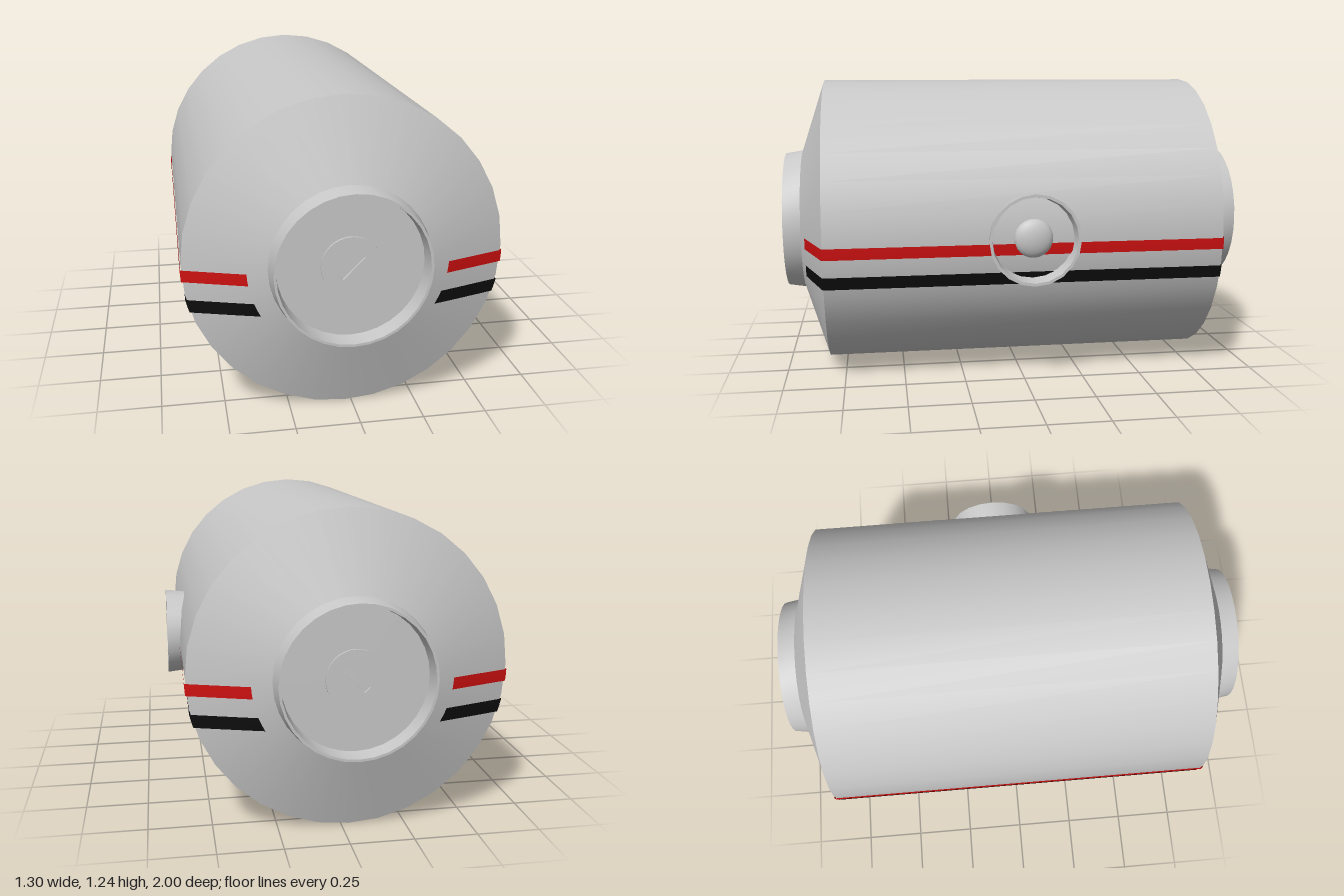
import * as THREE from 'three';
import { toCreasedNormals } from 'three/addons/utils/BufferGeometryUtils.js';

const CX = -0.03, CY = 0.622, R = 0.622;

export function createModel() {
  const grey = new THREE.MeshStandardMaterial({ color: 0xc8c8c8 });
  grey.name = 'light grey metal';
  const red = new THREE.MeshStandardMaterial({ color: 0xd01010, side: THREE.DoubleSide });
  red.name = 'red paint';
  const black = new THREE.MeshStandardMaterial({ color: 0x0e0e0e, side: THREE.DoubleSide });
  black.name = 'black paint';

  const model = new THREE.Group();
  model.name = 'tank';
  const add = (name, geometry, material, parent = model) => {
    const mesh = new THREE.Mesh(geometry, material);
    mesh.name = name;
    parent.add(mesh);
    return mesh;
  };
  const lathe = (pairs, sides) => toCreasedNormals(
    new THREE.LatheGeometry(pairs.map(([r, h]) => new THREE.Vector2(r, h)), sides), 0.5);

  // Barrel with sloped shoulders and a recessed collar at each end
  const half = [[R, 0.82], [0.31, 0.925], [0.298, 1], [0.288, 1], [0.281, 0.93], [0, 0.93]];
  const profile = [...half.map(([r, h]) => [r, -h]).reverse(), ...half];
  const barrel = add('barrel', lathe(profile, 32), grey);
  barrel.rotation.x = Math.PI / 2;
  barrel.position.set(CX, CY, 0);

  // Slotted disc in each collar, the back one a mirror of the front
  for (const end of [1, -1]) {
    const disc = new THREE.Shape().absarc(0, 0, 0.115, 0, Math.PI * 2, false);
    const a = Math.PI / 4 * end;
    const corners = [[-0.06, -0.015], [-0.06, 0.015], [0.06, 0.015], [0.06, -0.015]];
    disc.holes.push(new THREE.Path(corners.map(([x, y]) => new THREE.Vector2(
      x * Math.cos(a) - y * Math.sin(a), x * Math.sin(a) + y * Math.cos(a)))));
    const geo = new THREE.ExtrudeGeometry(disc, { depth: 0.01, bevelEnabled: false, curveSegments: 16 });
    const mesh = add(end > 0 ? 'frontSlottedDisc' : 'backSlottedDisc', toCreasedNormals(geo, 0.5), grey);
    mesh.position.set(CX, CY, 0.93 * end);
    if (end < 0) mesh.rotation.y = Math.PI;
  }

  // Painted stripe that follows the side and both shoulders
  const path = [];
  const steps = 6;
  for (let i = 0; i <= steps; i++) {
    const t = i / steps;
    path.push([THREE.MathUtils.lerp(0.386, R + 0.004, t), THREE.MathUtils.lerp(0.904, 0.822, t)]);
  }
  const fullPath = [...path, ...path.map(([r, z]) => [r, -z]).reverse()];
  const stripe = (y0, y1, side) => {
    const rows = 4, pos = [], index = [];
    fullPath.forEach(([r, z], i) => {
      for (let j = 0; j <= rows; j++) {
        const y = y0 + (y1 - y0) * j / rows;
        pos.push(CX + side * Math.sqrt(r * r - (y - CY) ** 2), y, z);
        if (i === 0 || j === 0) continue;
        const d = i * (rows + 1) + j, c = d - 1, b = d - rows - 1, e = b - 1;
        if (side > 0) index.push(e, c, d, e, d, b);
        else index.push(e, d, c, e, b, d);
      }
    });
    const geo = new THREE.BufferGeometry();
    geo.setAttribute('position', new THREE.Float32BufferAttribute(pos, 3));
    geo.setIndex(index);
    return toCreasedNormals(geo, 0.5);
  };
  for (const side of [1, -1]) {
    const label = side > 0 ? 'left' : 'right';
    add(label + 'RedStripe', stripe(0.555, 0.602, side), red);
    add(label + 'BlackStripe', stripe(0.43, 0.482, side), black);
  }

  // Flared side port with a low dome inside
  const port = new THREE.Group();
  port.name = 'sidePort';
  port.position.set(0, CY, -0.02);
  port.rotation.z = -Math.PI / 2;
  model.add(port);
  add('portRing', lathe([[0.171, 0.5], [0.187, 0.645], [0.175, 0.645], [0.157, 0.5]], 20), grey, port);
  const dome = add('portDome', new THREE.SphereGeometry(0.08, 24, 16), grey, port);
  dome.scale.y = 0.45;
  dome.position.y = 0.59;

  return model;
}
